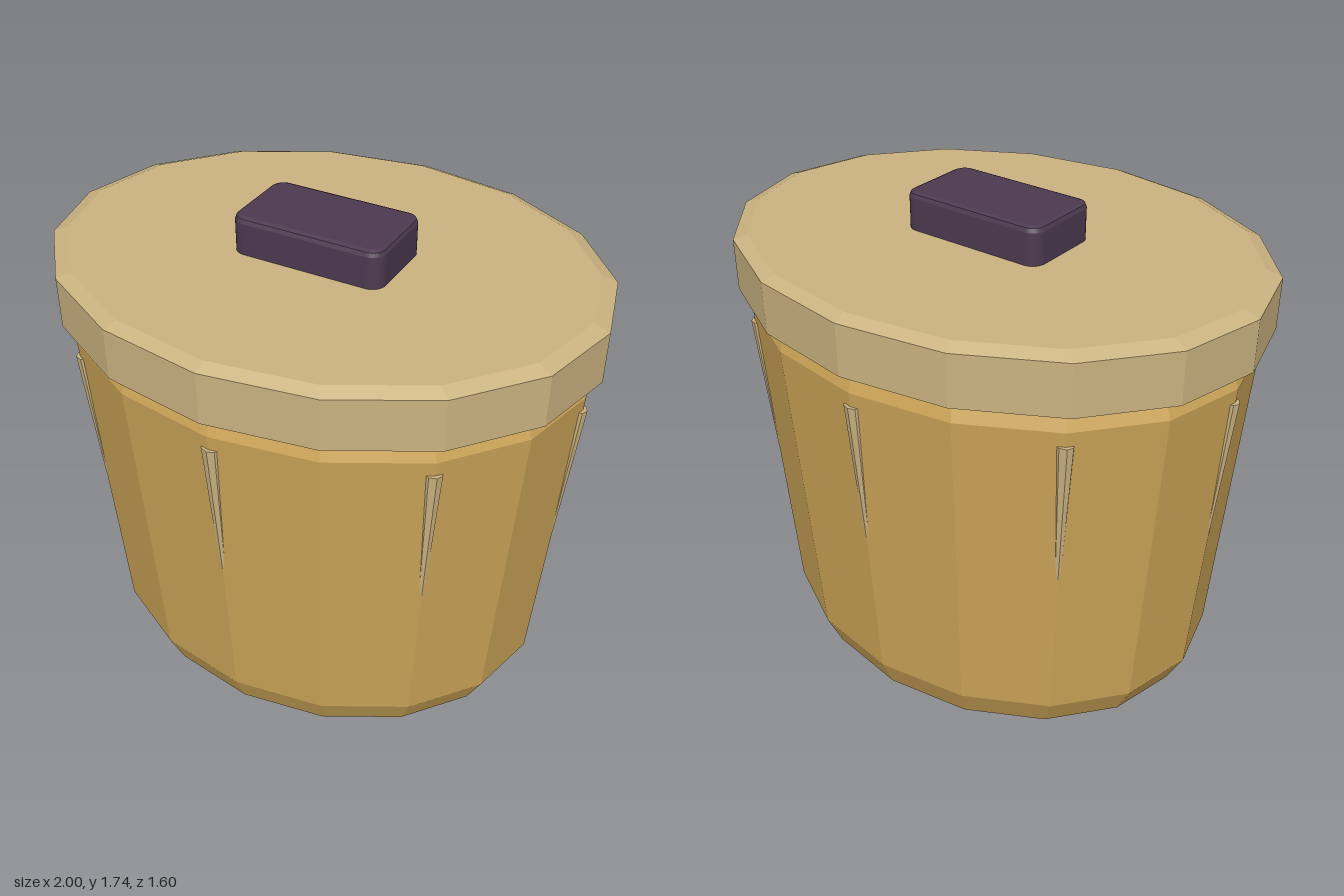
import * as THREE from 'three';

const DEPTH = 0.8; // oval footprint: depth relative to width
const SIDES = 16;

const material = (name, color, flatShading = false) => {
  const m = new THREE.MeshStandardMaterial({ color, flatShading });
  m.name = name;
  return m;
};

function addMesh(parent, name, geometry, mat) {
  const mesh = new THREE.Mesh(geometry, mat);
  mesh.name = name;
  parent.add(mesh);
  return mesh;
}

// Faceted oval solid from a [radius, height] profile, bottom to top
function ovalSolid(profile) {
  const points = profile.map(([r, y]) => new THREE.Vector2(r, y));
  return new THREE.LatheGeometry(points, SIDES).scale(1, 1, DEPTH);
}

function roundedRect(w, d, r) {
  const x = w / 2, y = d / 2;
  const s = new THREE.Shape();
  s.absarc(x - r, y - r, r, 0, Math.PI / 2);
  s.absarc(-x + r, y - r, r, Math.PI / 2, Math.PI);
  s.absarc(-x + r, -y + r, r, Math.PI, Math.PI * 1.5);
  s.absarc(x - r, -y + r, r, Math.PI * 1.5, Math.PI * 2);
  s.closePath();
  return s;
}

export function createModel() {
  const model = new THREE.Group();
  model.name = 'lidded basket';
  const straw = material('straw', 0xcba457, true);
  const paleStraw = material('pale straw', 0xcbb381, true);
  const plum = material('plum', 0x4c3a50);

  // Tapered body with chamfered foot and shoulder
  addMesh(model, 'body', ovalSolid([
    [0, 0], [0.805, 0], [0.867, 0.12], [0.956, 1.32], [0.925, 1.39], [0, 1.39],
  ]), straw);

  // Overhanging lid
  addMesh(model, 'lid', ovalSolid([
    [0, 1.38], [0.97, 1.38], [1, 1.395], [1, 1.58], [0.945, 1.6], [0, 1.6],
  ]), paleStraw);

  // Handle block, its lower bevel sunk into the lid
  const bevel = 0.02;
  const handle = new THREE.ExtrudeGeometry(roundedRect(0.52, 0.28, 0.03), {
    depth: 0.135, bevelEnabled: true, bevelSize: bevel, bevelThickness: bevel,
    bevelSegments: 2, curveSegments: 4,
  });
  handle.rotateX(-Math.PI / 2).translate(0, 1.58, 0);
  addMesh(model, 'handle', handle, plum);

  // Eight tapered ribs following the slope of the wall
  const ribs = new THREE.Group();
  ribs.name = 'ribs';
  ribs.scale.z = DEPTH;
  model.add(ribs);
  const top = new THREE.Vector3(0, 1.27, 0.932);
  const tip = new THREE.Vector3(0, 0.73, 0.9);
  const lean = Math.atan2(top.z - tip.z, top.y - tip.y);
  const middle = top.clone().add(tip).multiplyScalar(0.5);
  const rib = new THREE.CylinderGeometry(0.035, 0.013, top.distanceTo(tip), 8);
  rib.rotateX(lean).translate(middle.x, middle.y, middle.z);
  for (let i = 0; i < 8; i++) {
    addMesh(ribs, 'rib', rib, paleStraw).rotation.y = (i * Math.PI) / 4;
  }

  return model;
}
